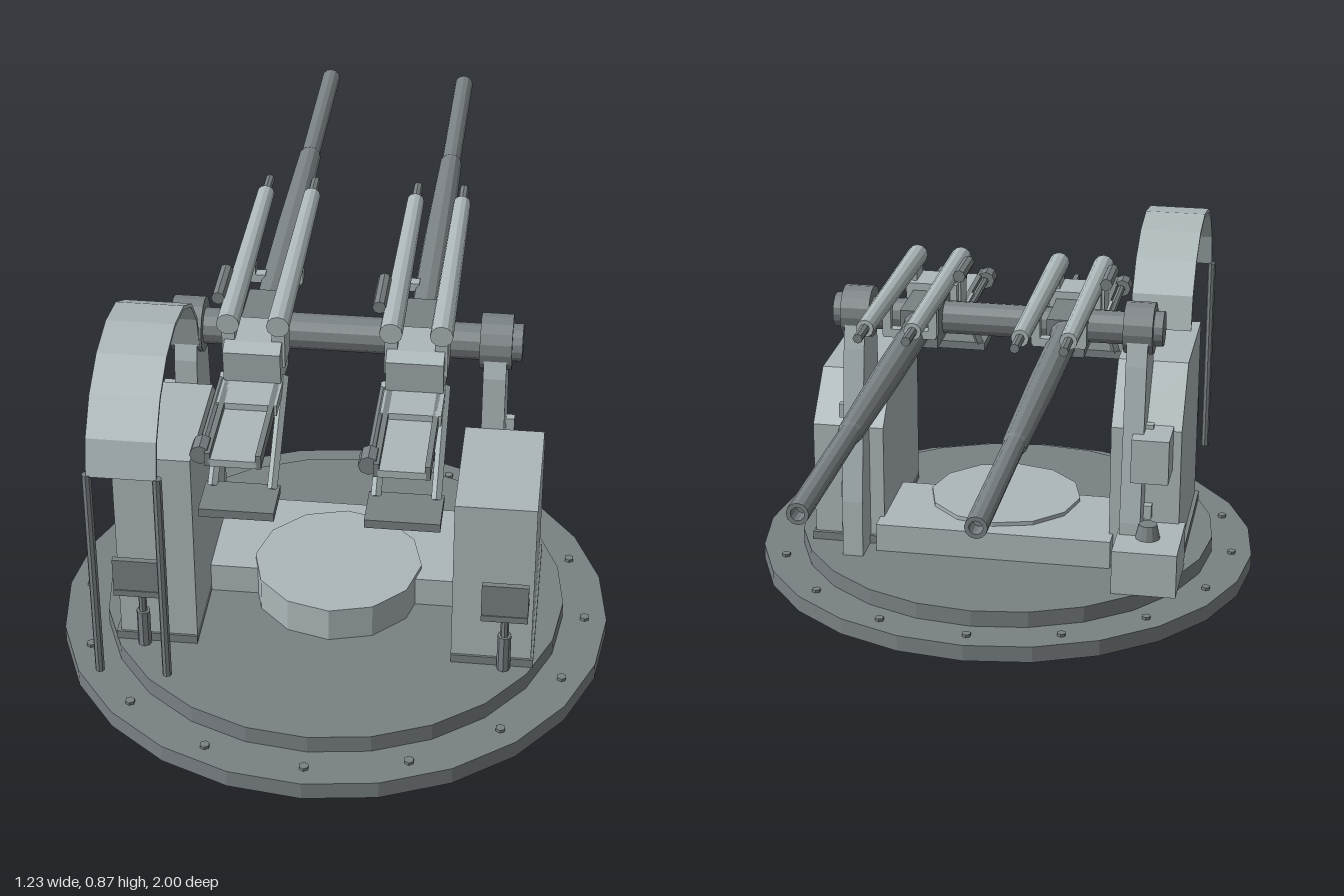
import * as THREE from 'three';

const paint = (color) => new THREE.MeshStandardMaterial({ color, flatShading: true, side: THREE.DoubleSide });
const light = paint(0xadb8ba);
const dark = paint(0x7a8184);

export function createModel() {
  const model = new THREE.Group();

  function add(parent, name, geo, mat) {
    const m = new THREE.Mesh(geo, mat);
    m.name = name;
    parent.add(m);
    return m;
  }
  // box given by its limits on each axis
  function box(parent, name, mat, x0, x1, y0, y1, z0, z1) {
    const m = add(parent, name, new THREE.BoxGeometry(x1 - x0, y1 - y0, z1 - z0), mat);
    m.position.set((x0 + x1) / 2, (y0 + y1) / 2, (z0 + z1) / 2);
  }
  // rod from point a to point b with radii ra and rb
  function rod(parent, name, mat, a, b, ra, rb = ra, sides = 12) {
    const p = new THREE.Vector3(...a), q = new THREE.Vector3(...b);
    const d = q.clone().sub(p);
    const m = add(parent, name, new THREE.CylinderGeometry(rb, ra, d.length(), sides), mat);
    m.position.copy(p).add(q).multiplyScalar(0.5);
    m.quaternion.setFromUnitVectors(new THREE.Vector3(0, 1, 0), d.normalize());
  }
  // side profile of [z, y] points, extruded from x0 to x1
  function sideProfile(parent, name, mat, pts, x0, x1) {
    const shape = new THREE.Shape(pts.map(([z, y]) => new THREE.Vector2(-z, y)));
    const geo = new THREE.ExtrudeGeometry(shape, { depth: x1 - x0, bevelEnabled: false });
    geo.rotateY(Math.PI / 2);
    geo.translate(x0, 0, 0);
    add(parent, name, geo, mat);
  }

  // round base with bolts
  const base = new THREE.Group();
  base.name = 'base';
  base.position.z = 0.38;
  model.add(base);
  rod(base, 'lowerDisc', dark, [0, 0, 0], [0, 0.04, 0], 0.617, 0.617, 24);
  rod(base, 'upperDisc', dark, [0, 0.04, 0], [0, 0.08, 0], 0.517, 0.517, 24);
  rod(base, 'centreDrum', light, [0.006, 0.08, 0], [0.006, 0.16, 0], 0.189, 0.189, 12);
  for (let i = 0; i < 16; i++) {
    const a = (i / 16) * Math.PI * 2, x = 0.567 * Math.sin(a), z = 0.567 * Math.cos(a);
    rod(base, 'bolt', dark, [x, 0.04, z], [x, 0.047, z], 0.011, 0.011, 6);
  }
  box(model, 'floorBlock', light, -0.29, 0.29, 0.08, 0.15, 0.15, 0.42);

  // cabinets beside the guns
  sideProfile(model, 'leftCabinet', light,
    [[0.61, 0.1], [0.61, 0.495], [0.31, 0.495], [0.2, 0.385], [0.2, 0.1]], 0.28, 0.455);
  sideProfile(model, 'rightCabinet', light,
    [[0.61, 0.1], [0.61, 0.565], [0.31, 0.565], [0.2, 0.43], [0.2, 0.1]], -0.45, -0.28);
  box(model, 'rightFootBox', light, -0.465, -0.31, 0.08, 0.19, 0.015, 0.21);
  rod(model, 'footKnob', dark, [-0.385, 0.19, 0.11], [-0.385, 0.225, 0.11], 0.03, 0.022);
  box(model, 'rightControlBox', light, -0.43, -0.34, 0.33, 0.44, 0.105, 0.21);

  for (const s of [1, -1]) {
    const side = new THREE.Group();
    side.name = s > 0 ? 'leftMount' : 'rightMount';
    model.add(side);
    const c = 0.37 * s;
    box(side, 'cabinetFoot', dark, c - 0.09, c + 0.09, 0.08, 0.1, 0.19, 0.615);

    // tapered trunnion support
    const xs = 0.34 * s;
    sideProfile(side, 'support', light,
      [[0.33, 0.08], [0.305, 0.62], [0.29, 0.67], [0.235, 0.72], [0.18, 0.67], [0.165, 0.6], [0.115, 0.22], [0.11, 0.08]],
      xs - 0.025, xs + 0.025);
    rod(side, 'bearing', dark, [0.305 * s, 0.675, 0.235], [0.375 * s, 0.675, 0.235], 0.062, 0.062, 16);
    rod(side, 'bearingCap', dark, [0.375 * s, 0.675, 0.235], [0.397 * s, 0.675, 0.235], 0.042, 0.042, 16);
    for (let i = 0; i < 4; i++) {
      const y = 0.1 + i * 0.105, x = 0.372 * s;
      box(side, 'supportStep', light, x - 0.012, x + 0.012, y, y + 0.035, 0.18, 0.2);
    }

    // folding seat on a post
    const p = 0.396 * s;
    rod(side, 'seatPostLower', dark, [p, 0.08, 0.622], [p, 0.17, 0.622], 0.015, 0.015, 8);
    rod(side, 'seatPostUpper', dark, [p, 0.17, 0.622], [p, 0.25, 0.622], 0.009, 0.009, 8);
    box(side, 'seat', dark, p - 0.05, p + 0.05, 0.25, 0.265, 0.61, 0.68);
    box(side, 'seatBack', dark, p - 0.05, p + 0.05, 0.265, 0.343, 0.665, 0.678);
  }
  rod(model, 'trunnionShaft', dark, [-0.31, 0.672, 0.235], [0.31, 0.672, 0.235], 0.04);

  // two guns
  for (const gx of [-0.175, 0.175]) {
    const gun = new THREE.Group();
    gun.name = 'gun';
    gun.position.x = gx;
    model.add(gun);

    // stepped barrel with hollow muzzle, slightly raised
    const profile = [[0, 0], [0.038, 0], [0.038, 0.16], [0.034, 0.17], [0.033, 0.5], [0.027, 0.86],
      [0.023, 0.87], [0.023, 1.3], [0.014, 1.3], [0.014, 1.26], [0, 1.26]];
    const barrel = add(gun, 'barrel',
      new THREE.LatheGeometry(profile.map(([r, y]) => new THREE.Vector2(r, y)), 12), dark);
    barrel.position.set(0, 0.674, 0.3);
    barrel.rotation.x = -Math.PI / 2 + 0.016;

    // cradle, receiver and loading tray
    box(gun, 'cradle', dark, -0.045, 0.045, 0.625, 0.715, 0.14, 0.31);
    sideProfile(gun, 'receiver', light,
      [[0.29, 0.62], [0.41, 0.635], [0.42, 0.72], [0.39, 0.733], [0.29, 0.733]], -0.062, 0.062);
    box(gun, 'receiverLip', light, -0.065, 0.065, 0.62, 0.645, 0.38, 0.5);
    box(gun, 'loadingTray', light, -0.05, 0.05, 0.613, 0.63, 0.4, 0.69);
    for (const s of [-1, 1]) {
      box(gun, 'trayRail', dark, s * 0.053 - 0.006, s * 0.053 + 0.006, 0.613, 0.645, 0.4, 0.69);
      rod(gun, 'plateStrut', light, [s * 0.064, 0.485, 0.58], [s * 0.064, 0.645, 0.38], 0.011, 0.011, 4);

      // recoil cylinders above the barrel
      const x = s * 0.054;
      rod(gun, 'recoilCylinder', light, [x, 0.773, 0.39], [x, 0.783, -0.185], 0.025, 0.02);
      rod(gun, 'recoilRod', dark, [x, 0.783, -0.185], [x, 0.784, -0.255], 0.011, 0.011, 8);
      box(gun, 'cylinderRearPost', light, x - 0.014, x + 0.014, 0.67, 0.765, 0.31, 0.385);
      box(gun, 'cylinderFrontPost', light, x - 0.01, x + 0.01, 0.69, 0.77, 0.035, 0.06);
      box(gun, 'frontPostArm', light, s * 0.042 - 0.02, s * 0.042 + 0.02, 0.685, 0.705, 0.035, 0.06);
    }
    box(gun, 'footPlate', dark, -0.08, 0.08, 0.468, 0.488, 0.565, 0.67);
    rod(gun, 'sightTube', dark, [-0.087, 0.788, 0.31], [-0.087, 0.79, 0.19], 0.015, 0.015, 8);
    rod(gun, 'trayRod', dark, [-0.068, 0.632, 0.38], [-0.068, 0.632, 0.63], 0.01, 0.01, 8);
    rod(gun, 'trayKnob', dark, [-0.07, 0.632, 0.635], [-0.07, 0.632, 0.68], 0.022, 0.022, 8);
  }

  // arched guard: thin strip swept over the right cabinet
  const outer = [], inner = [];
  for (let i = 0; i <= 8; i++) {
    const a = (i / 8) * Math.PI, cz = Math.cos(a), sy = Math.sin(a);
    outer.push([0.55 + 0.265 * cz, 0.655 + 0.21 * sy]);
    inner.unshift([0.55 + 0.256 * cz, 0.655 + 0.202 * sy]);
  }
  sideProfile(model, 'archGuard', light, [...outer, ...inner], -0.455, -0.31);
  for (const x of [-0.455, -0.31])
    rod(model, 'guardPost', dark, [x, 0.15, 0.808], [x, 0.657, 0.808], 0.01, 0.01, 8);

  return model;
}
